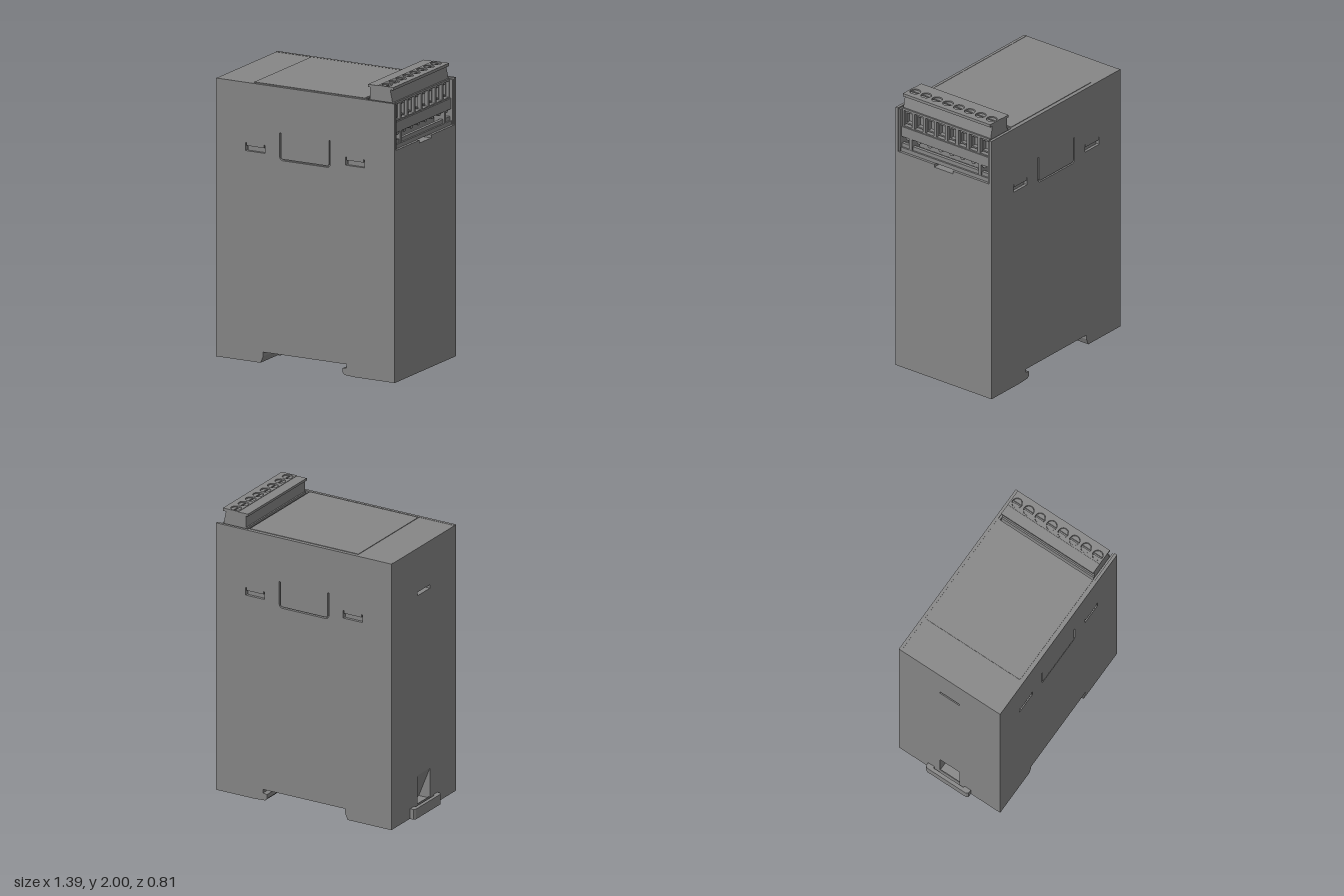
import * as THREE from 'three';

const mat = new THREE.MeshStandardMaterial({ color: 0x868686, flatShading: true });

// Shape or path from a list of [x, y] points
const outline = (pts, C = THREE.Shape) => {
  const s = new C();
  pts.forEach(([x, y], i) => (i ? s.lineTo(x, y) : s.moveTo(x, y)));
  s.closePath();
  return s;
};
const rect = (x0, y0, x1, y1, C) => outline([[x0, y0], [x1, y0], [x1, y1], [x0, y1]], C);
const withHoles = (shape, holes) => { shape.holes.push(...holes); return shape; };
const extrude = (shape, depth) =>
  new THREE.ExtrudeGeometry(shape, { depth, bevelEnabled: false, curveSegments: 12 });

export function createModel() {
  const model = new THREE.Group();
  model.name = 'railModule';
  const add = (parent, name, geo) => {
    const m = new THREE.Mesh(geo, mat);
    m.name = name;
    parent.add(m);
    return m;
  };
  const group = (name) => {
    const g = new THREE.Group();
    g.name = name;
    model.add(g);
    return g;
  };
  const box = (parent, name, x0, x1, y0, y1, z0, z1) => add(parent, name,
    new THREE.BoxGeometry(x1 - x0, y1 - y0, z1 - z0)
      .translate((x0 + x1) / 2, (y0 + y1) / 2, (z0 + z1) / 2));
  // Outline in xy, swept from z0 to z1
  const slab = (parent, name, shape, z0, z1) =>
    add(parent, name, extrude(shape, z1 - z0).translate(0, 0, z0));
  // Outline in zy, swept from x0 to x1
  const plateX = (parent, name, shape, x0, x1) =>
    add(parent, name, extrude(shape, x1 - x0).rotateY(Math.PI / 2).translate(x0, 0, 0));
  // Outline in xz, swept from y0 to y1
  const plateY = (parent, name, shape, y0, y1) =>
    add(parent, name, extrude(shape, y1 - y0).rotateX(-Math.PI / 2).translate(0, y0, 0));

  // Underside with the rail notch, shared by all housing sections
  const left = -0.664, top = 1.898;
  const underside = [
    [-0.325, 0.005], [-0.305, 0.05], [-0.305, 0.08], [0.33, 0.08], [0.33, 0.055],
    [0.3, 0.05], [0.3, 0.02], [0.315, 0.005], [0.4, 0], [0.695, 0],
  ];
  const pocket = (floor) => [[0.695, floor], [0.46, floor], [0.46, top]];
  const slots = [[-0.44, -0.29], [0.32, 0.465]];
  const slotHoles = () => slots.map(([a, b]) => rect(a, 1.435, b, 1.49, THREE.Path));

  // U-shaped groove around the snap tongue
  const tongueGroove = () => {
    const u = new THREE.Path(), x0 = -0.18, x1 = 0.205, y = 1.402, t = 0.01, r = 0.03;
    u.moveTo(x0, 1.588);
    u.lineTo(x0, y + r);
    u.quadraticCurveTo(x0, y, x0 + r, y);
    u.lineTo(x1 - r, y);
    u.quadraticCurveTo(x1, y, x1, y + r);
    u.lineTo(x1, 1.588);
    u.lineTo(x1 - t, 1.588);
    u.lineTo(x1 - t, y + r);
    u.quadraticCurveTo(x1 - t, y + t, x1 - r, y + t);
    u.lineTo(x0 + r, y + t);
    u.quadraticCurveTo(x0 + t, y + t, x0 + t, y + r);
    u.lineTo(x0 + t, 1.588);
    u.closePath();
    return u;
  };

  // Housing: two side panels, two core sections and a middle section
  const housing = group('housing');
  for (const s of [-1, 1]) {
    const span = (a, b) => (s > 0 ? [a, b] : [-b, -a]);
    const panel = outline([[left, 0.005], ...underside, [0.695, 1.9], [left, 1.9]]);
    slab(housing, 'sidePanel', withHoles(panel, [...slotHoles(), tongueGroove()]), ...span(0.385, 0.405));
    const core = outline([[left, 0.005], ...underside, ...pocket(1.58), [left, top]]);
    slab(housing, 'core', withHoles(core, slotHoles()), ...span(0.078, 0.385));
    // Catches inside the side slots
    for (const [a, b] of slots) {
      box(housing, 'slotLip', a + 0.008, b - 0.008, 1.47, 1.49, ...span(0.36, 0.405));
      box(housing, 'slotCatch', a + 0.008, b - 0.008, 1.435, 1.472, ...span(0.35, 0.385));
    }
  }
  // Middle section: latch ramp, narrow slit and a lower pocket floor
  slab(housing, 'middleCore', withHoles(outline([
    [-0.58, 0.005], ...underside, ...pocket(1.56), [left, top], [left, 1.585],
    [-0.62, 1.585], [-0.62, 1.56], [left, 1.56], [left, 0.28], [-0.58, 0.07],
  ]), slotHoles()), -0.078, 0.078);
  box(housing, 'lid', -0.39, 0.45, 1.88, 1.902, -0.375, 0.375);

  // Rail latch: sliding foot, hooked tip and pull loop
  const latch = group('railLatch');
  slab(latch, 'latchFoot', outline([
    [-0.66, 0], [-0.315, 0], [-0.275, 0.05], [-0.305, 0.065], [-0.66, 0.065],
  ]), -0.16, 0.16);
  const loop = outline([
    [-0.655, -0.17], [-0.69, -0.17], [-0.7, -0.155], [-0.7, 0.155], [-0.69, 0.17], [-0.655, 0.17],
  ]);
  loop.holes.push(rect(-0.675, -0.12, -0.661, 0.12, THREE.Path));
  plateY(latch, 'pullLoop', loop, 0.003, 0.075);

  // Socket in the pocket
  const socket = group('socket');
  const pitch = 0.092;
  const poles = Array.from({ length: 8 }, (_, i) => (i - 3.5) * pitch);
  box(socket, 'socketBack', 0.46, 0.6, 1.57, 1.7, -0.385, 0.385);
  box(socket, 'socketSill', 0.59, 0.68, 1.582, 1.61, -0.375, 0.375);
  box(socket, 'socketLip', 0.645, 0.668, 1.61, 1.637, -0.375, 0.375);
  for (const s of [-1, 1]) {
    box(socket, 'socketCheek', 0.46, 0.688, 1.582, 1.89, s * 0.378 - 0.007, s * 0.378 + 0.007);
    box(socket, 'keyRib', 0.6, 0.678, 1.61, 1.69, s * 0.292 - 0.012, s * 0.292 + 0.012);
  }

  // Terminal plug
  const plug = group('terminalPlug');
  const w = 0.368;
  box(plug, 'plugBack', 0.475, 0.62, 1.69, 1.9, -w, w);
  const windows = poles.map((z) => rect(z - 0.035, 1.77, z + 0.035, 1.88, THREE.Path));
  plateX(plug, 'plugFace', withHoles(rect(-w, 1.69, w, 1.895), windows), 0.62, 0.668);
  box(plug, 'plugLedge', 0.66, 0.677, 1.69, 1.762, -w, w);
  slab(plug, 'plugNeck', outline([
    [0.485, 1.89], [0.657, 1.89], [0.657, 1.9], [0.64, 1.98], [0.485, 1.98],
  ]), -w, w);
  box(plug, 'capStep', 0.47, 0.545, 1.98, 1.997, -w, w);
  const screwX = 0.59, screwR = 0.036;
  const screwHoles = poles.map((z) =>
    new THREE.Path().absarc(screwX, z, screwR, 0, Math.PI * 2, true));
  plateY(plug, 'plugCap', withHoles(rect(0.545, -w, 0.664, w), screwHoles), 1.98, 2);

  for (const z of poles) {
    // Clamp frame inside each wire opening
    const clamp = withHoles(rect(z - 0.03, 1.778, z + 0.03, 1.872),
      [rect(z - 0.024, 1.788, z + 0.024, 1.86, THREE.Path)]);
    plateX(plug, 'wireClamp', clamp, 0.62, 0.65);
    // Screw head in two halves with the slot between
    for (const s of [0, 1]) {
      const half = new THREE.Shape();
      const a = 0.16, c = s * Math.PI - Math.PI / 2;
      half.absarc(screwX, z, 0.033, c + a, c + Math.PI - a, false);
      half.closePath();
      plateY(plug, 'screwHead', half, 1.975, 1.993);
    }
    // Rounded contact tip under the ledge
    const tip = new THREE.CylinderGeometry(0.018, 0.018, 0.07, 12);
    tip.rotateZ(Math.PI / 2).translate(0.635, 1.688, z);
    add(plug, 'contactTip', tip);
  }
  return model;
}
